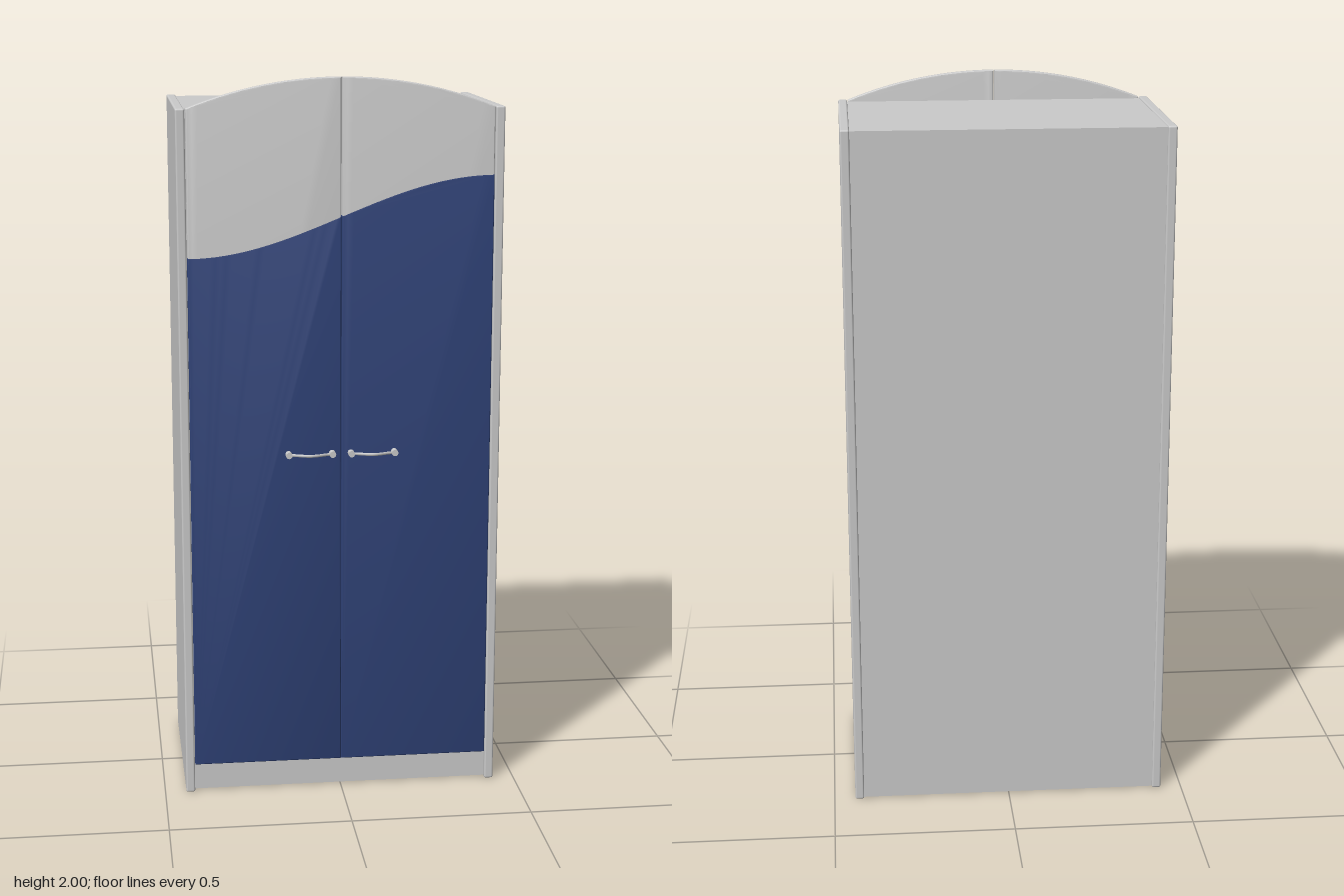
import * as THREE from 'three';
import { toCreasedNormals } from 'three/addons/utils/BufferGeometryUtils.js';
import { RoundedBoxGeometry } from 'three/addons/geometries/RoundedBoxGeometry.js';

const SIDE_TOP = 1.92, DOOR_BOTTOM = 0.083, DOOR_BACK = 0.235, DOOR_DEPTH = 0.02;
const HALF = 0.414, GAP = 0.001, BEVEL = 0.005;

// Arched top of the doors and the wave where the colour ends
const RISE = 0.08, RADIUS = (HALF * HALF + RISE * RISE) / (2 * RISE);
const archY = x => SIDE_TOP + RISE - RADIUS + Math.sqrt(RADIUS * RADIUS - x * x);
const waveY = x => 1.632 + 0.107 * Math.sin((Math.PI * x) / (2 * HALF));

export function createModel() {
  const model = new THREE.Group();
  const grey = new THREE.MeshStandardMaterial({ color: 0xcccccc });
  const blue = new THREE.MeshStandardMaterial({ color: 0x2f4277 });

  const add = (parent, name, geometry, material, x = 0, y = 0, z = 0) => {
    const mesh = new THREE.Mesh(geometry, material);
    mesh.name = name;
    mesh.position.set(x, y, z);
    parent.add(mesh);
    return mesh;
  };

  // Slab from x0 to x1 whose upper edge follows topY; grow widens it slightly
  const slab = (x0, x1, topY, grow) => {
    const shape = new THREE.Shape();
    shape.moveTo(x0, DOOR_BOTTOM);
    shape.lineTo(x1, DOOR_BOTTOM);
    const n = 28;
    for (let i = 0; i <= n; i++) {
      const x = x1 + ((x0 - x1) * i) / n;
      shape.lineTo(x, topY(x));
    }
    const geometry = new THREE.ExtrudeGeometry(shape, {
      depth: DOOR_DEPTH - 2 * BEVEL + grow,
      bevelThickness: BEVEL, bevelSize: BEVEL, bevelOffset: grow - BEVEL, bevelSegments: 3,
    });
    geometry.translate(0, 0, DOOR_BACK + BEVEL);
    return toCreasedNormals(geometry, 0.5);
  };

  // Cabinet body and plinth
  add(model, 'cabinetBody', new THREE.BoxGeometry(0.832, 1.832, 0.518), grey, 0, 1.0, -0.024);
  add(model, 'plinth', new THREE.BoxGeometry(0.832, 0.081, 0.518), grey, 0, 0.0435, -0.024);

  for (const side of [-1, 1]) {
    const label = side > 0 ? 'left' : 'right';

    // Side panel with softened edges
    add(model, label + 'SidePanel', new RoundedBoxGeometry(0.025, SIDE_TOP, 0.543, 3, 0.005),
      grey, side * 0.4285, SIDE_TOP / 2, -0.0185);

    // Door with a coloured lower face
    const door = new THREE.Group();
    door.name = label + 'Door';
    model.add(door);
    const x0 = side > 0 ? GAP : -HALF, x1 = side > 0 ? HALF : -GAP;
    add(door, 'doorPanel', slab(x0, x1, archY, 0), grey);
    add(door, 'colouredFacing', slab(x0, x1, waveY, 0.0006), blue);

    // Bow handle on two round posts
    const handle = new THREE.Group();
    handle.name = label + 'Handle';
    handle.position.y = 0.98;
    door.add(handle);
    for (const x of [0.026, 0.146]) {
      const post = add(handle, 'handlePost', new THREE.CylinderGeometry(0.009, 0.009, 0.026, 20),
        grey, side * x, 0, 0.264);
      post.rotation.x = Math.PI / 2;
    }
    const points = [];
    for (let i = 0; i <= 8; i++) {
      const t = i / 8;
      points.push(new THREE.Vector3(side * (0.026 + 0.12 * t), 0,
        0.271 + 0.008 * (1 - Math.cos(2 * Math.PI * t))));
    }
    const bow = add(handle, 'handleBow',
      new THREE.TubeGeometry(new THREE.CatmullRomCurve3(points), 32, 0.002, 8), grey);
    bow.scale.y = 2;
  }
  return model;
}
